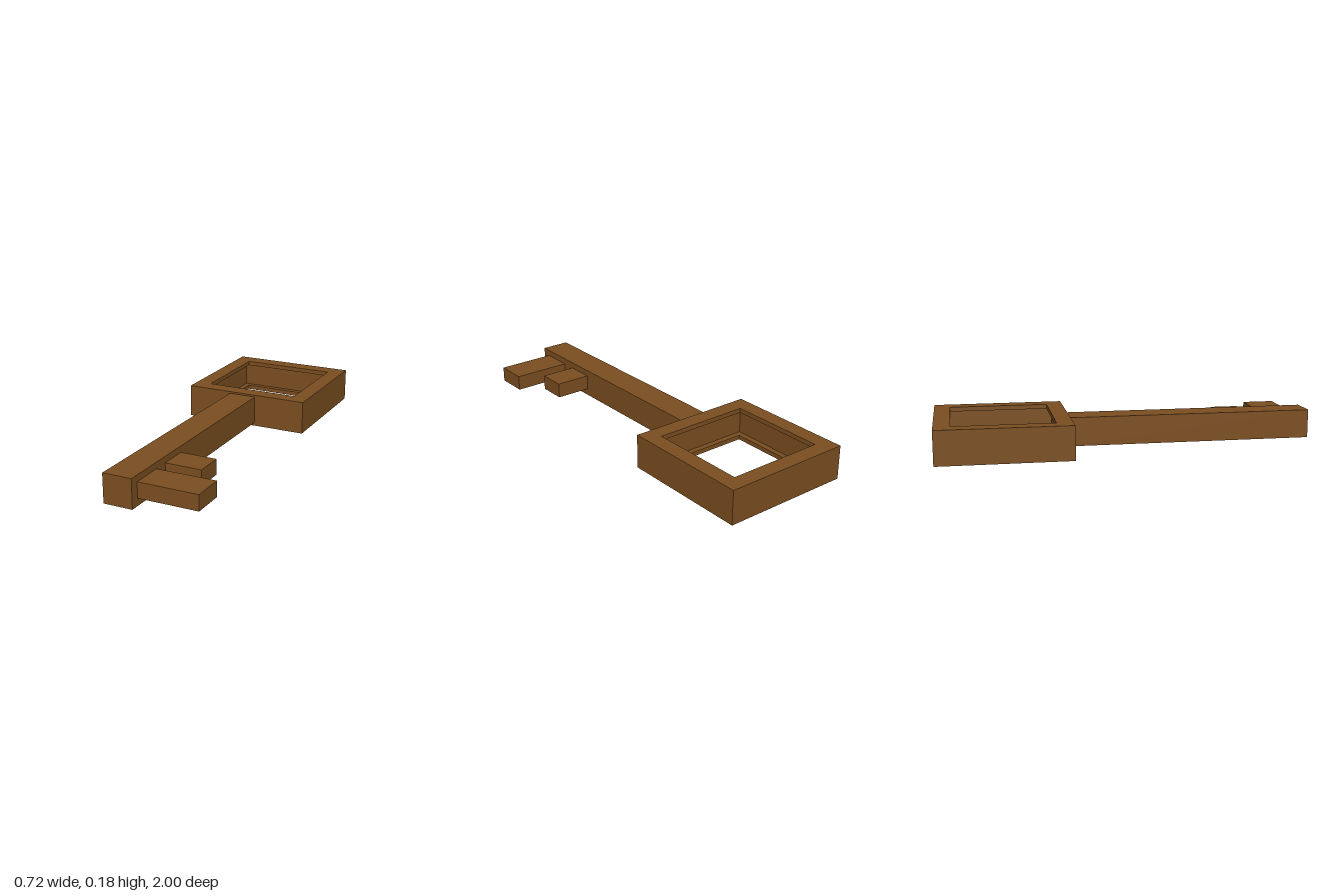
import * as THREE from 'three';

export function createModel() {
  const key = new THREE.Group();
  key.name = 'key';
  const material = new THREE.MeshStandardMaterial({ color: 0x7c4f20, flatShading: true });

  // Box given by its minimum and maximum corners
  function block(name, [x0, y0, z0], [x1, y1, z1]) {
    const mesh = new THREE.Mesh(new THREE.BoxGeometry(x1 - x0, y1 - y0, z1 - z0), material);
    mesh.position.set((x0 + x1) / 2, (y0 + y1) / 2, (z0 + z1) / 2);
    mesh.name = name;
    key.add(mesh);
  }

  // Square bow: a closed cross-section swept round four sides,
  // with a recess running along the inner walls between two lips
  const outer = 0.348, inner = 0.2625, recess = 0.293, height = 0.18, lip = 0.024;
  const profile = [
    [outer, 0], [outer, height], [inner, height], [inner, height - lip],
    [recess, height - lip], [recess, lip], [inner, lip], [inner, 0], [outer, 0],
  ].map(([half, y]) => new THREE.Vector2(half * Math.SQRT2, y));
  const bowGeometry = new THREE.LatheGeometry(profile, 4, Math.PI / 4).toNonIndexed();
  bowGeometry.computeVertexNormals();
  const bow = new THREE.Mesh(bowGeometry, material);
  bow.name = 'bow';
  bow.position.set(-0.013, 0, -0.652);
  key.add(bow);

  // Shaft and the two teeth of the bit
  block('shaft', [-0.108, 0.018, -0.305], [0.046, 0.17, 1]);
  block('shortTooth', [0.046, 0.056, 0.547], [0.24, 0.137, 0.7]);
  block('longTooth', [0.046, 0.056, 0.78], [0.361, 0.137, 0.953]);

  return key;
}
